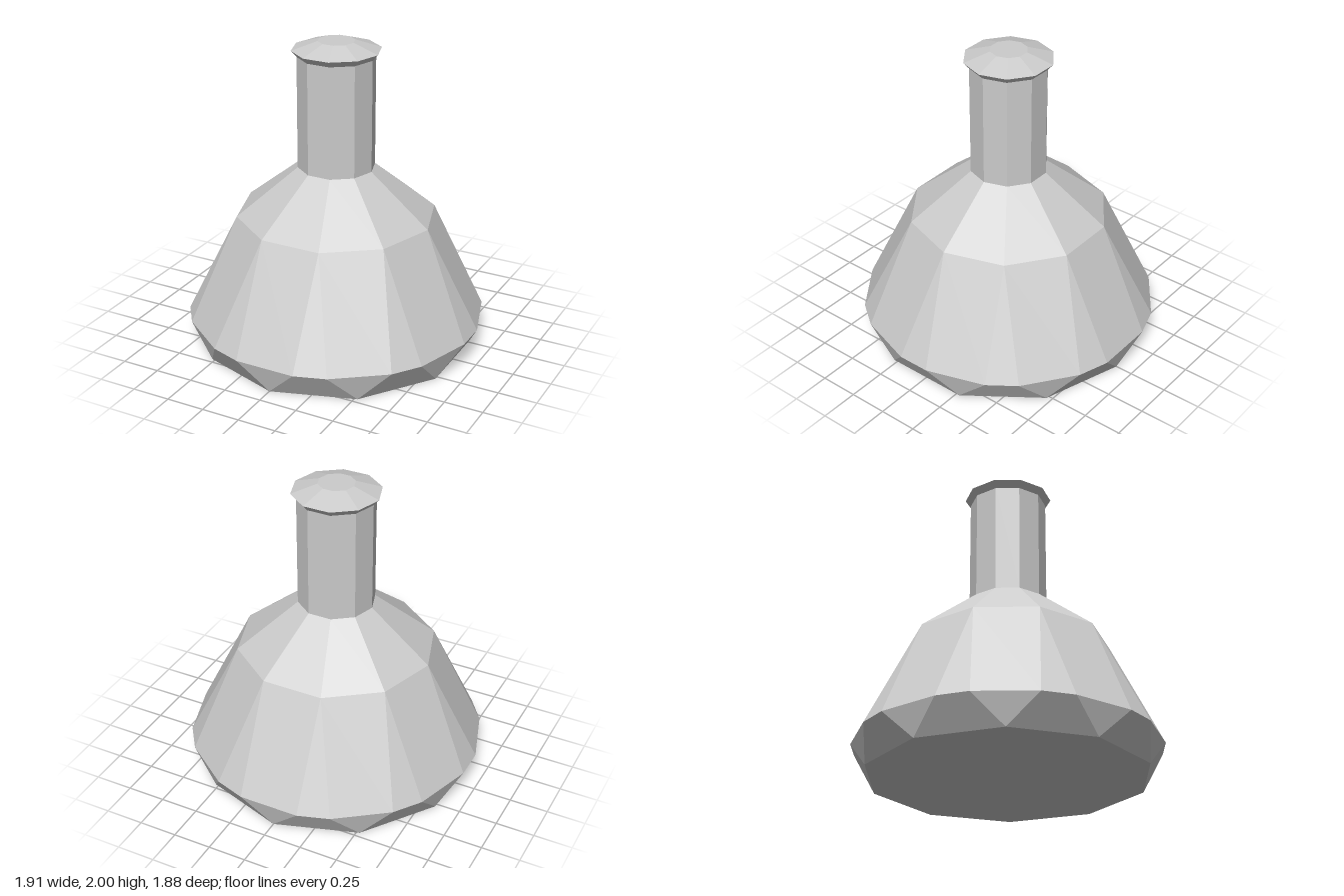
import * as THREE from 'three';

const SIDES = 10;
const material = new THREE.MeshStandardMaterial({ color: 0xcccccc, flatShading: true });

// Ring of ten point pairs; each pair is split by +-spread degrees around its corner.
// spread 0 merges a pair on its corner, spread 18 merges it with the next pair.
function ring({ y, r, spread = 0 }) {
  const points = [];
  for (let k = 0; k < SIDES; k++) {
    for (const s of [-1, 1]) {
      const a = THREE.MathUtils.degToRad(k * 360 / SIDES + s * spread);
      points.push(new THREE.Vector3(r * Math.cos(a), y, r * Math.sin(a)));
    }
  }
  return points;
}

// Faceted skin through rings listed from bottom to top, with optional flat caps.
function loft(name, levels, { capBottom = false, capTop = false } = {}) {
  const rings = levels.map(ring);
  const positions = [];
  const tri = (a, b, c) => {
    const area = b.clone().sub(a).cross(c.clone().sub(a)).length();
    if (area > 1e-7) for (const p of [a, b, c]) positions.push(p.x, p.y, p.z);
  };
  const n = SIDES * 2;
  for (let i = 0; i < rings.length - 1; i++) {
    const low = rings[i], high = rings[i + 1];
    for (let j = 0; j < n; j++) {
      const k = (j + 1) % n;
      tri(low[j], high[j], high[k]);
      tri(low[j], high[k], low[k]);
    }
  }
  const first = rings[0], last = rings[rings.length - 1];
  const bottom = new THREE.Vector3(0, levels[0].y, 0);
  const top = new THREE.Vector3(0, levels[levels.length - 1].y, 0);
  for (let j = 0; j < n; j++) {
    const k = (j + 1) % n;
    if (capBottom) tri(bottom, first[j], first[k]);
    if (capTop) tri(top, last[k], last[j]);
  }
  const geometry = new THREE.BufferGeometry();
  geometry.setAttribute('position', new THREE.Float32BufferAttribute(positions, 3));
  geometry.computeVertexNormals();
  const mesh = new THREE.Mesh(geometry, material);
  mesh.name = name;
  return mesh;
}

export function createModel() {
  const group = new THREE.Group();
  group.name = 'flask';

  // Body: ten-sided base, twenty-sided belly, ten-sided shoulder
  group.add(loft('body', [
    { y: 0, r: 0.885, spread: 18 },
    { y: 0.19, r: 0.962, spread: 6.2 },
    { y: 0.865, r: 0.64 },
    { y: 1.18, r: 0.247 },
  ], { capBottom: true }));

  // Straight neck
  group.add(loft('neck', [
    { y: 1.18, r: 0.247 },
    { y: 1.905, r: 0.247 },
  ]));

  // Flared lip with a shallow domed stopper
  group.add(loft('stopper', [
    { y: 1.905, r: 0.247 },
    { y: 1.945, r: 0.282 },
    { y: 2, r: 0.117 },
  ], { capTop: true }));

  return group;
}
